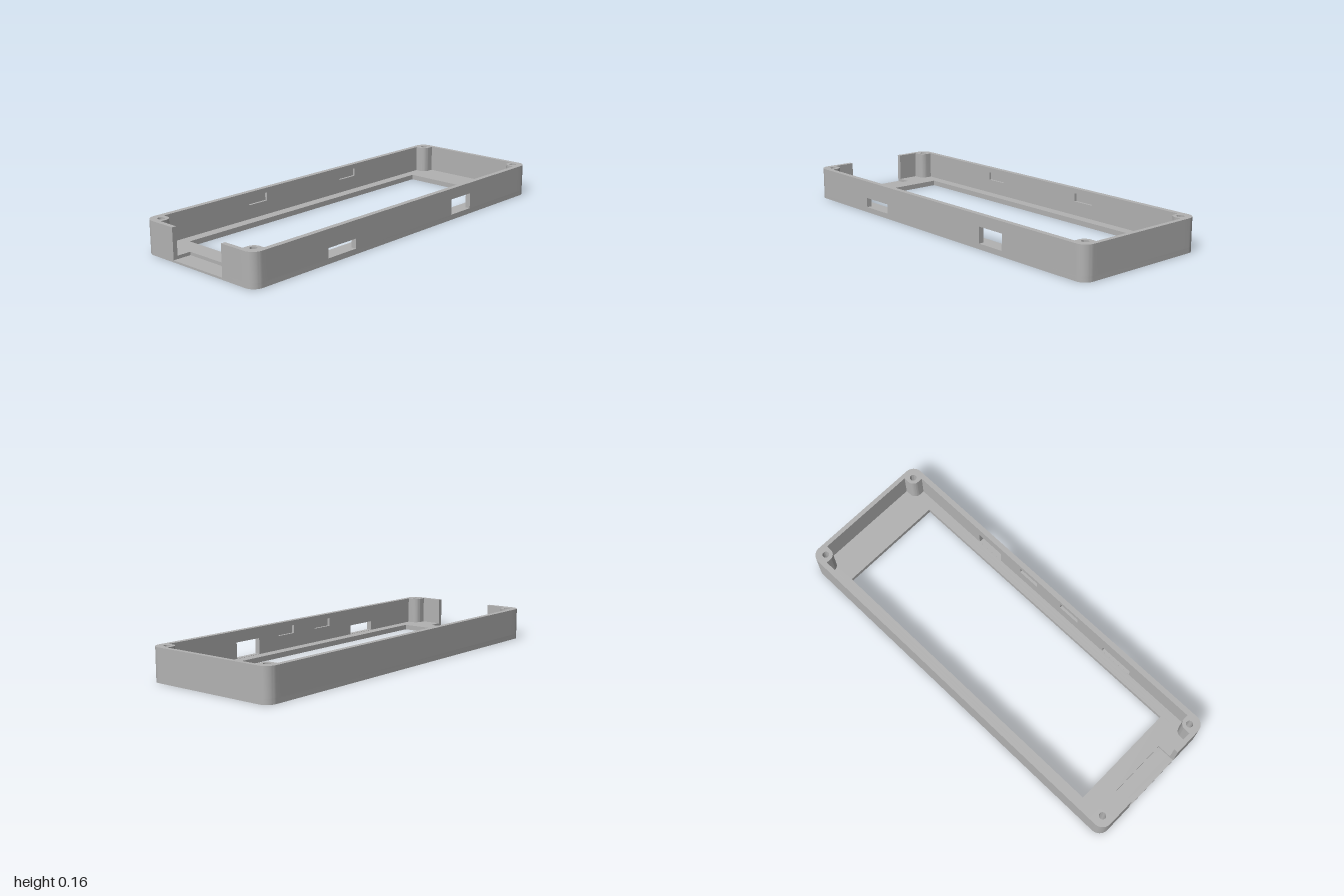
import * as THREE from 'three';
import { toCreasedNormals } from 'three/addons/utils/BufferGeometryUtils.js';

const W = 1, D = 0.36, H = 0.163;        // half length, half depth, height
const FLOOR = 0.026, STEP = 0.01;        // floor top, recessed floor level
const TX = 0.023, TZ = 0.027;            // wall thicknesses
const R = 0.052, BOSS = 0.088;           // outer corner radius, corner boss size
const HOLE = 0.017, HX = W - 0.052, HZ = D - 0.053;
const NOTCH = 0.163, NOTCH_X = -0.905;   // cable notch half width and inner end
const POCKET = 0.013;

export function createModel() {
  const grey = new THREE.MeshStandardMaterial({ color: 0xb2b2b2 });
  grey.name = 'grey plastic';
  const group = new THREE.Group();
  group.name = 'enclosureFrame';

  const add = (name, geo) => {
    const mesh = new THREE.Mesh(toCreasedNormals(geo, 0.6), grey);
    mesh.name = name;
    group.add(mesh);
  };
  const extrude = (shape, depth) =>
    new THREE.ExtrudeGeometry(shape, { depth, bevelEnabled: false, curveSegments: 24 });
  // Plan shapes lie in x and -z and rise from y0 to y1
  const addPlan = (name, shape, y0, y1) =>
    add(name, extrude(shape, y1 - y0).rotateX(-Math.PI / 2).translate(0, y0, 0));
  const rect = (x0, y0, x1, y1) => [[x0, y0], [x1, y0], [x1, y1], [x0, y1]];
  const arc = (cx, cy, r, a0, a1, n = 12) => Array.from({ length: n + 1 }, (_, i) => {
    const a = a0 + (a1 - a0) * i / n;
    return [cx + r * Math.cos(a), cy + r * Math.sin(a)];
  });
  const toShape = (pts, holes = []) => {
    const v = (list) => list.map(([x, y]) => new THREE.Vector2(x, y));
    const s = new THREE.Shape(v(pts));
    holes.forEach((h) => s.holes.push(new THREE.Path(v(h))));
    return s;
  };
  const screwHole = (sx, sz) => arc(sx * HX, sz * HZ, HOLE, 0, Math.PI * 2, 24).slice(0, -1);
  const signs = [[1, 1], [-1, 1], [-1, -1], [1, -1]];

  // Floor in two layers, the upper one cut away at the cable notch
  const outline = signs.flatMap(([sx, sz], i) =>
    arc(sx * (W - R), sz * (D - R), R, i * Math.PI / 2, (i + 1) * Math.PI / 2));
  const half = outline.length / 2;
  const notched = [...outline.slice(0, half), [-W, NOTCH], [NOTCH_X, NOTCH],
    [NOTCH_X, -NOTCH], [-W, -NOTCH], ...outline.slice(half)];
  const floorHoles = [rect(-0.813, -0.28, 0.812, 0.28), ...signs.map(([a, b]) => screwHole(a, b))];
  addPlan('floorBase', toShape(outline, floorHoles), 0, STEP);
  addPlan('floorTop', toShape(notched, floorHoles), STEP, FLOOR);

  // Corner screw bosses, rounded outside and inside
  for (const [sx, sz] of signs) {
    const r = 0.036;
    const pts = [
      ...arc(W - R, D - R, R, 0, Math.PI / 2),
      [W - BOSS, D],
      ...arc(W - BOSS + r, D - BOSS + r, r, Math.PI, Math.PI * 1.5),
      [W, D - BOSS],
    ].map(([x, z]) => [x * sx, z * sz]);
    addPlan('cornerBoss', toShape(pts, [screwHole(sx, sz)]), FLOOR, H);
  }

  // End walls: one whole, one open at the notch
  const e = D - BOSS;
  addPlan('leftWall', toShape(rect(W - TX, -e, W, e)), FLOOR, H);
  for (const [a, b] of [[-e, -NOTCH], [NOTCH, e]])
    addPlan('rightWallPart', toShape(rect(-W, a, -W + TX, b)), FLOOR, H);

  // Long walls: an outer skin with windows and an inner skin with added pockets
  const L = W - BOSS;
  const longWall = (name, side, windows, pockets) => {
    const layer = (part, holes, z0, z1) => {
      const geo = extrude(toShape(rect(-L, FLOOR, L, H), holes), z1 - z0);
      add(name + part, geo.translate(0, 0, side > 0 ? z0 : -z1));
    };
    layer('Outer', windows, D - TZ + POCKET, D);
    layer('Inner', [...windows, ...pockets], D - TZ, D - TZ + POCKET);
  };
  const sill = FLOOR + 0.001;
  longWall('frontWall', 1,
    [rect(-0.555, sill, -0.375, 0.075), rect(0.335, sill, 0.49, 0.107)],
    [rect(-0.198, 0.097, -0.08, 0.138), rect(0.08, 0.097, 0.198, 0.138)]);
  longWall('backWall', -1, [],
    [rect(-0.392, 0.097, -0.272, 0.138), rect(0.258, 0.097, 0.378, 0.138)]);

  return group;
}
